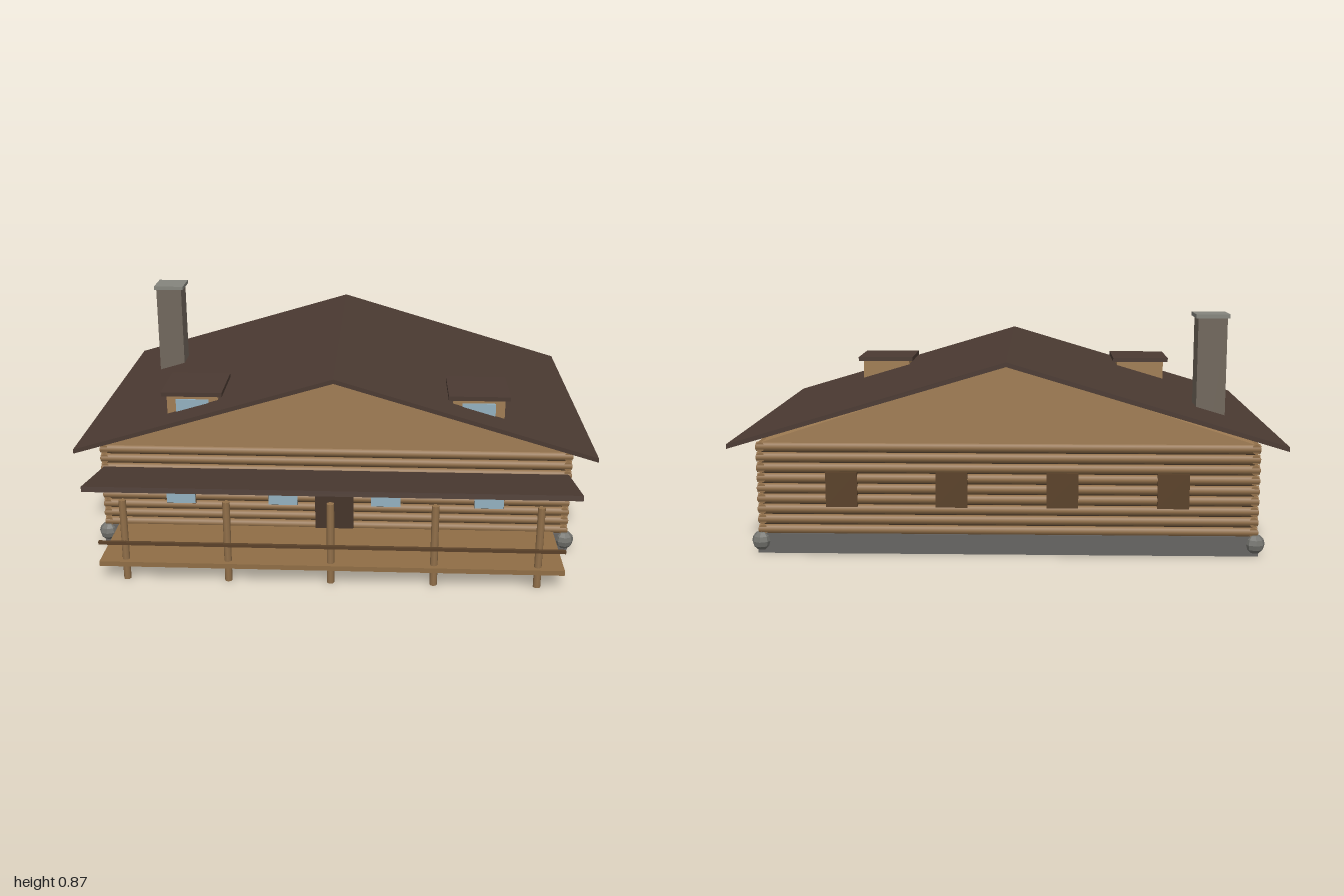
import * as THREE from 'three';

const COLORS = {
  log: 0x92704a, gable: 0xa07d54, deck: 0x8f6d45, chinking: 0x3a2c1e, roof: 0x4b3a32,
  stone: 0x666462, boulder: 0x74746f, chimney: 0x71675c, cap: 0x85857d,
  glass: 0x93b0c0, frame: 0x5a4129, door: 0x45342a,
};
const MAT = {};
for (const key in COLORS) MAT[key] = new THREE.MeshStandardMaterial({ color: COLORS[key] });
MAT.boulder.flatShading = true;

export function createModel() {
  const root = new THREE.Group();

  const add = (name, geometry, mat, x = 0, y = 0, z = 0, parent = root) => {
    const mesh = new THREE.Mesh(geometry, MAT[mat]);
    mesh.name = name;
    mesh.position.set(x, y, z);
    parent.add(mesh);
    return mesh;
  };
  // Box given by its extents along each axis
  const box = (name, mat, [x0, x1], [y0, y1], [z0, z1], parent = root) =>
    add(name, new THREE.BoxGeometry(x1 - x0, y1 - y0, z1 - z0), mat,
      (x0 + x1) / 2, (y0 + y1) / 2, (z0 + z1) / 2, parent);
  const group = (name) => {
    const g = new THREE.Group();
    g.name = name;
    root.add(g);
    return g;
  };

  const FRONT = 0.43, BACK = -0.675, SIDE = 0.9;

  // Foundation with a boulder at each corner
  box('foundation', 'stone', [-0.92, 0.92], [0, 0.075], [-0.69, 0.445]);
  const boulders = group('cornerBoulders');
  for (const x of [-0.907, 0.907]) for (const z of [0.435, -0.68])
    add('boulder', new THREE.SphereGeometry(0.037, 8, 6), 'boulder', x, 0.046, z, boulders);

  // Log walls around a dark core
  box('wallCore', 'chinking', [-SIDE, SIDE], [0.07, 0.41], [BACK, FRONT]);
  const walls = group('logWalls');
  const longLog = new THREE.CylinderGeometry(0.018, 0.018, 1.83, 10).rotateZ(Math.PI / 2);
  const sideLog = new THREE.CylinderGeometry(0.018, 0.018, 1.135, 10).rotateX(Math.PI / 2);
  for (let i = 0; i < 9; i++) {
    const y = 0.089 + i * 0.0388;
    for (const z of [FRONT, BACK]) add('longLog', longLog, 'log', 0, y, z, walls);
    for (const x of [-SIDE, SIDE]) add('sideLog', sideLog, 'log', x, y, (FRONT + BACK) / 2, walls);
  }

  // Gable prism
  const gable = new THREE.Shape([
    new THREE.Vector2(-0.92, 0.408), new THREE.Vector2(0.92, 0.408), new THREE.Vector2(0, 0.708),
  ]);
  add('gable', new THREE.ExtrudeGeometry(gable, { depth: 1.12, bevelEnabled: false }), 'gable', 0, 0, -0.683);

  // Main roof: two sloped slabs meeting at the ridge
  const roof = group('mainRoof');
  for (const s of [-1, 1]) {
    const slab = new THREE.Shape([[0, 0.724], [0, 0.707], [s, 0.409], [s, 0.426]]
      .map(([x, y]) => new THREE.Vector2(x, y)));
    add('roofSlab', new THREE.ExtrudeGeometry(slab, { depth: 1.285, bevelEnabled: false }),
      'roof', 0, 0, -0.77, roof);
  }

  // Door, and windows on front and back
  box('door', 'door', [-0.075, 0.075], [0.08, 0.308], [0.42, 0.452]);
  const windows = group('windows');
  for (const x of [-0.605, -0.202, 0.202, 0.605]) {
    for (const [z0, z1] of [[0.425, 0.45], [-0.695, -0.67]])
      box('windowFrame', 'frame', [x - 0.058, x + 0.058], [0.178, 0.308], [z0, z1], windows);
    box('windowPane', 'glass', [x - 0.057, x + 0.057], [0.18, 0.306], [0.44, 0.453], windows);
  }

  // Porch: deck, posts, handrail and tilted canopy
  const porch = group('porch');
  box('deck', 'deck', [-0.86, 0.86], [0.063, 0.082], [0.44, 0.765], porch);
  const post = new THREE.CylinderGeometry(0.014, 0.014, 0.322, 8);
  for (let i = -2; i <= 2; i++) add('post', post, 'log', i * 0.3825, 0.161, 0.735, porch);
  box('handrail', 'frame', [-0.86, 0.86], [0.149, 0.161], [0.748, 0.76], porch);
  add('canopy', new THREE.BoxGeometry(1.81, 0.02, 0.345), 'roof', 0, 0.345, 0.598, porch)
    .rotation.x = -0.18;

  // Dormers
  for (const s of [-1, 1]) {
    const dormer = group(s < 0 ? 'rightDormer' : 'leftDormer');
    dormer.position.x = s * 0.555;
    box('dormerBody', 'gable', [-0.1, 0.1], [0.46, 0.607], [0.18, 0.38], dormer);
    box('dormerPane', 'glass', [-0.064, 0.064], [0.475, 0.59], [0.37, 0.387], dormer);
    box('dormerRoof', 'roof', [-0.118, 0.118], [0.606, 0.623], [0.155, 0.398], dormer);
  }

  // Chimney
  box('chimney', 'chimney', [-0.825, -0.715], [0.002, 0.852], [-0.433, -0.323]);
  box('chimneyCap', 'cap', [-0.833, -0.705], [0.85, 0.865], [-0.443, -0.314]);

  return root;
}
